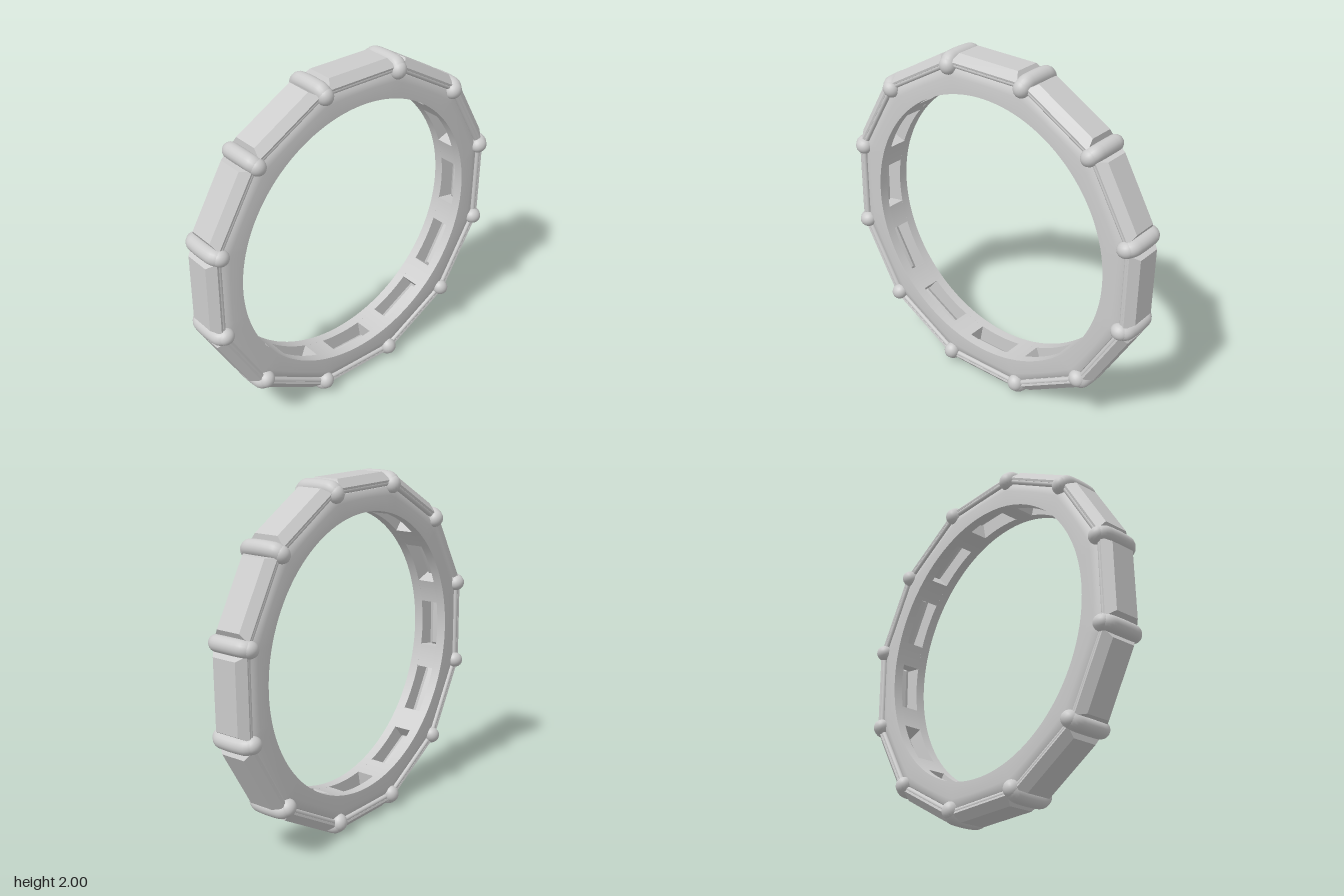
import * as THREE from 'three';
import { toCreasedNormals } from 'three/addons/utils/BufferGeometryUtils.js';

const COUNT = 12;
const STEP = (Math.PI * 2) / COUNT;
const INNER = 0.8;    // finger hole radius
const FLAT = 0.92;    // distance from centre to the flats of the outer polygon
const WINDOW_Z = 0.055;

const metal = new THREE.MeshStandardMaterial({ color: 0xcccccc });
const facet = new THREE.MeshStandardMaterial({ color: 0xcccccc, flatShading: true });

function part(name, geometry, material = metal) {
  const mesh = new THREE.Mesh(geometry, material);
  mesh.name = name;
  return mesh;
}

// Side wall: round inside, twelve-sided outside, soft outer shoulder
function sideWallGeometry() {
  const profile = [
    [INNER, WINDOW_Z], [FLAT, WINDOW_Z], [FLAT, 0.085], [0.915, 0.097], [0.9, 0.106],
    [0.875, 0.111], [INNER, 0.111], [INNER, WINDOW_Z],
  ].map(([r, y]) => new THREE.Vector2(r, y));
  const geo = new THREE.LatheGeometry(profile, 120);
  geo.rotateX(Math.PI / 2).rotateX(Math.PI);
  const p = geo.attributes.position;
  for (let i = 0; i < p.count; i++) {
    const x = p.getX(i), y = p.getY(i);
    const r = Math.hypot(x, y), a = Math.atan2(y, x);
    const off = a - Math.round(a / STEP) * STEP;
    const t = (r - INNER) / (FLAT - INNER);
    const k = (INNER + t * (FLAT / Math.cos(off) - INNER)) / r;
    p.setXY(i, x * k, y * k);
  }
  return toCreasedNormals(geo, 0.5);
}

// Solid block between two windows, centred on the +y direction
function bridgeGeometry() {
  const half = THREE.MathUtils.degToRad(5);
  const shape = new THREE.Shape();
  shape.absarc(0, 0, INNER, Math.PI / 2 + half, Math.PI / 2 - half, true);
  const outer = FLAT / Math.cos(STEP / 2 - half);
  shape.lineTo(outer * Math.sin(half), outer * Math.cos(half));
  shape.lineTo(0, FLAT / Math.cos(STEP / 2));
  shape.lineTo(-outer * Math.sin(half), outer * Math.cos(half));
  const geo = new THREE.ExtrudeGeometry(shape, { depth: WINDOW_Z * 2, bevelEnabled: false, curveSegments: 6 });
  return geo.translate(0, 0, -WINDOW_Z);
}

// Step-cut stone: stacked rectangles [height, half length, half width]
function gemGeometry() {
  const rings = [[0.865, 0.14, 0.02], [0.938, 0.222, 0.112], [0.95, 0.222, 0.115], [0.995, 0.195, 0.075]];
  const pos = [], index = [];
  for (const [y, hx, hz] of rings) pos.push(-hx, y, hz, hx, y, hz, hx, y, -hz, -hx, y, -hz);
  for (let r = 0; r < rings.length - 1; r++) {
    for (let i = 0; i < 4; i++) {
      const a = r * 4 + i, b = r * 4 + ((i + 1) % 4);
      index.push(a, b, b + 4, a, b + 4, a + 4);
    }
  }
  const top = (rings.length - 1) * 4;
  index.push(0, 2, 1, 0, 3, 2, top, top + 1, top + 2, top, top + 2, top + 3);
  const geo = new THREE.BufferGeometry();
  geo.setAttribute('position', new THREE.Float32BufferAttribute(pos, 3));
  geo.setIndex(index);
  geo.computeVertexNormals();
  return geo;
}

// Rounded bar over the joint with its ends drooping on both sides
function makeBar(tube, cap) {
  const bar = new THREE.Group();
  bar.name = 'prongBar';
  bar.add(part('barBody', tube));
  for (const s of [-1, 1]) {
    const end = part('barEnd', cap);
    end.position.set(0, 0.957, s * 0.108);
    bar.add(end);
  }
  return bar;
}

export function createModel() {
  const model = new THREE.Group();
  model.name = 'gemBand';

  const wall = sideWallGeometry();
  const front = part('frontWall', wall);
  const back = part('backWall', wall);
  // The profile sits on one side; turn one copy over for the other
  back.rotation.x = Math.PI;
  model.add(front, back);

  const bridge = bridgeGeometry();
  const gem = gemGeometry();
  const rail = new THREE.CylinderGeometry(0.015, 0.015, 0.5, 12).rotateZ(Math.PI / 2);
  const path = new THREE.CatmullRomCurve3(
    [[0.957, -0.108], [0.979, -0.088], [0.985, -0.05], [0.985, 0.05], [0.979, 0.088], [0.957, 0.108]]
      .map(([y, z]) => new THREE.Vector3(0, y, z)));
  const tube = new THREE.TubeGeometry(path, 28, 0.045, 20);
  const cap = new THREE.SphereGeometry(0.046, 20, 14).scale(1, 1.1, 1);

  for (let i = 0; i < COUNT; i++) {
    // Stone with its two rails on each flat
    const setting = new THREE.Group();
    setting.name = 'stoneSetting';
    setting.rotation.z = i * STEP;
    setting.add(part('stone', gem, facet));
    for (const s of [-1, 1]) {
      const r = part('rail', rail);
      r.position.set(0, 0.932, s * 0.098);
      setting.add(r);
    }
    // Bridge and bar on each corner
    const joint = new THREE.Group();
    joint.name = 'joint';
    joint.rotation.z = (i + 0.5) * STEP;
    joint.add(part('bridge', bridge), makeBar(tube, cap));
    model.add(setting, joint);
  }

  model.rotation.z = THREE.MathUtils.degToRad(-0.6);
  model.position.y = 1;
  const root = new THREE.Group();
  root.name = 'ring';
  root.add(model);
  return root;
}
